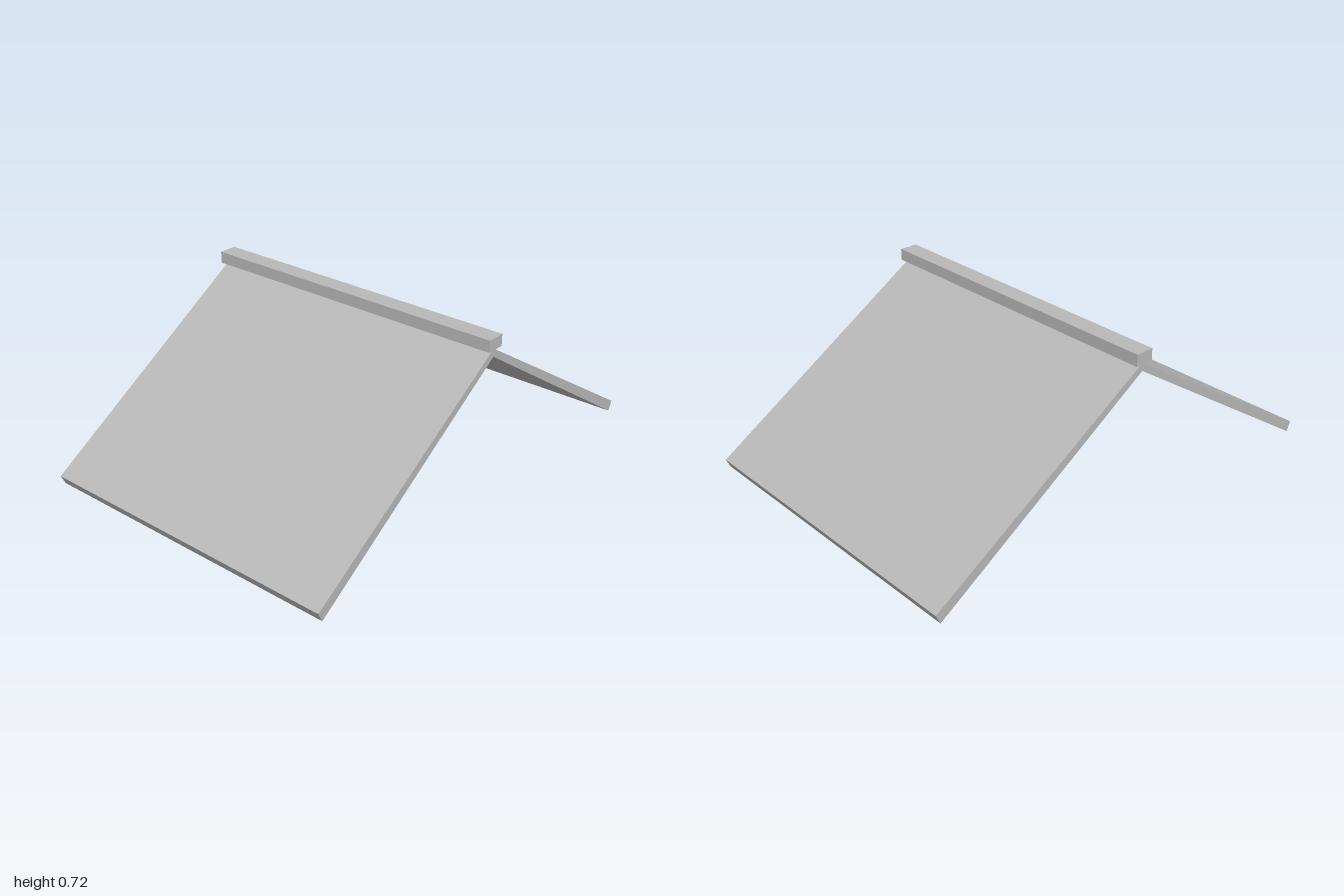
import * as THREE from 'three';

export function createModel() {
  const group = new THREE.Group();
  group.name = 'gableRoof';
  const grey = new THREE.MeshStandardMaterial({ color: 0xb8b8b8 });
  grey.name = 'grey';

  // Two sloping slabs, slightly thicker at the eaves, joined at the ridge
  const half = [[1, 0.042], [0.98, 0]];
  const outline = [
    [0, 0.672],
    ...half.map(([x, y]) => [-x, y]),
    [0, 0.638],
    ...half.slice().reverse(),
  ].map(([x, y]) => new THREE.Vector2(x, y));
  const depth = 1.384;
  const slabs = new THREE.ExtrudeGeometry(new THREE.Shape(outline), { depth, bevelEnabled: false });
  slabs.translate(0, 0, -depth / 2);
  const roof = new THREE.Mesh(slabs, grey);
  roof.name = 'roofSlabs';
  group.add(roof);

  // Beam resting along the ridge
  const ridge = new THREE.Mesh(new THREE.BoxGeometry(0.08, 0.05, 1.4), grey);
  ridge.name = 'ridgeBeam';
  ridge.position.y = 0.696;
  group.add(ridge);

  return group;
}
